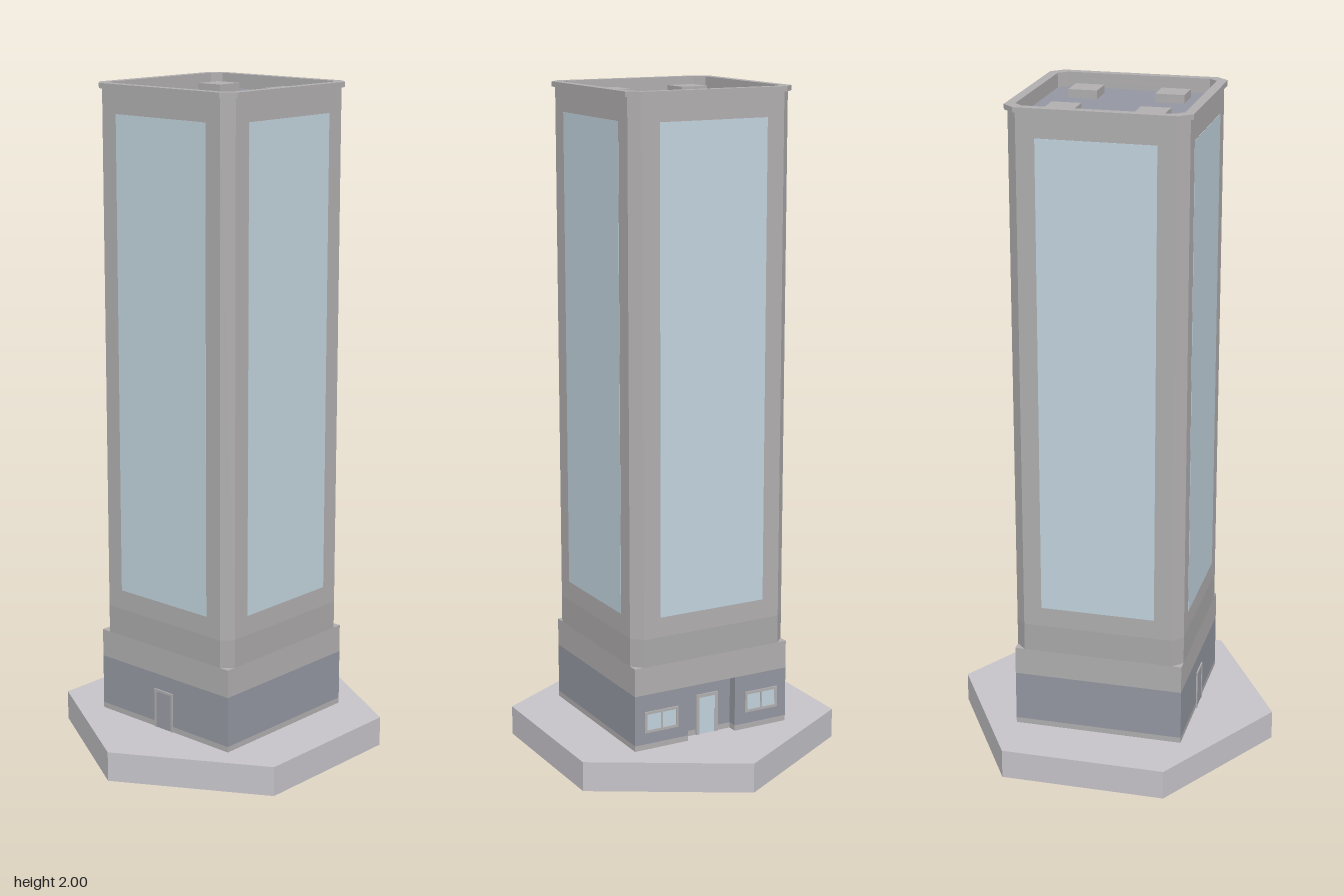
import * as THREE from 'three';

const mat = (color) => new THREE.MeshStandardMaterial({ color, flatShading: true });
const WALL = mat(0xb0aeae), BAND = mat(0x9497a1), SILL = mat(0xaaa8a9);
const GLASS = mat(0xc1d3dd), PLINTH = mat(0xc5c3c8), DOOR = mat(0x9a9ca4);

const HALF = 0.257; // half width of the tower

// Square outline with cut corners
function octagon(h, c) {
  return [[h, c - h], [h, h - c], [h - c, h], [c - h, h], [-h, h - c], [-h, c - h], [c - h, -h], [h - c, -h]];
}

const toPoints = (list) => list.map(([x, y]) => new THREE.Vector2(x, y));

// Horizontal slab from a footprint (footprint +y points to the back)
function slab(parent, name, material, outline, y0, y1, hole) {
  const shape = new THREE.Shape(toPoints(outline));
  if (hole) shape.holes.push(new THREE.Path(toPoints(hole)));
  const geo = new THREE.ExtrudeGeometry(shape, { depth: y1 - y0, bevelEnabled: false });
  geo.rotateX(-Math.PI / 2);
  const mesh = new THREE.Mesh(geo, material);
  mesh.position.y = y0;
  mesh.name = name;
  parent.add(mesh);
}

function box(parent, name, material, w, h, d, x, y, z) {
  const mesh = new THREE.Mesh(new THREE.BoxGeometry(w, h, d), material);
  mesh.position.set(x, y, z);
  mesh.name = name;
  parent.add(mesh);
}

// Rectangular frame facing +z, optionally open at the bottom
function frame(parent, name, w, h, t, d, x, y, z, bottom) {
  for (const s of [-1, 1]) box(parent, name, WALL, t, h, d, x + s * (w - t) / 2, y, z);
  box(parent, name, WALL, w - 2 * t, t, d, x, y + (h - t) / 2, z);
  if (bottom) box(parent, name, WALL, w - 2 * t, t, d, x, y - (h - t) / 2, z);
}

export function createModel() {
  const model = new THREE.Group();
  model.name = 'tower';

  // Hexagonal plinth
  const plinth = new THREE.Mesh(new THREE.CylinderGeometry(0.495, 0.495, 0.09, 6), PLINTH);
  plinth.position.y = 0.045;
  plinth.name = 'plinth';
  model.add(plinth);

  const building = new THREE.Group();
  building.name = 'building';
  building.position.set(0.004, 0, 0.003);
  model.add(building);

  // Ground floor with an entrance recess at the back
  const h = HALF, r = 0.08, depth = 0.03;
  const square = [[-h, -h], [h, -h], [h, h], [-h, h]];
  const notched = [[-h, -h], [h, -h], [h, h], [r, h], [r, h - depth], [-r, h - depth], [-r, h], [-h, h]];
  slab(building, 'footing', WALL, notched, 0.09, 0.107);
  slab(building, 'groundFloor', BAND, notched, 0.107, 0.26);
  slab(building, 'podiumTop', WALL, square, 0.26, 0.345);

  // Shaft with cut corners
  const outline = octagon(h, 0.03), opening = octagon(0.238, 0.025);
  slab(building, 'shaftBand', SILL, outline, 0.345, 0.43);
  slab(building, 'shaft', WALL, outline, 0.43, 1.955);

  // Sunken roof, parapet and coping
  slab(building, 'roof', BAND, opening, 1.953, 1.957);
  slab(building, 'parapet', WALL, outline, 1.955, 1.985, opening);
  slab(building, 'coping', WALL, octagon(0.266, 0.035), 1.985, 2, opening);

  // Roof units
  for (const x of [-1, 1]) {
    for (const z of [-1, 1]) box(building, 'roofUnit', WALL, 0.086, 0.025, 0.086, x * 0.128, 1.969, z * 0.128);
  }

  // One tall glass panel on each side
  for (let i = 0; i < 4; i++) {
    const side = new THREE.Group();
    side.name = 'glassSide';
    side.rotation.y = i * Math.PI / 2;
    box(side, 'glassPanel', GLASS, 0.345, 1.425, 0.004, 0, 1.2025, h - 0.001);
    building.add(side);
  }

  // Front door
  const front = new THREE.Group();
  front.name = 'frontDoor';
  box(front, 'doorLeaf', DOOR, 0.06, 0.115, 0.004, 0, 0.1475, h);
  frame(front, 'doorFrame', 0.074, 0.122, 0.007, 0.008, 0, 0.151, h, false);
  building.add(front);

  // Back entrance and its two windows
  const back = new THREE.Group();
  back.name = 'backEntrance';
  back.rotation.y = Math.PI;
  box(back, 'entranceGlass', GLASS, 0.058, 0.118, 0.004, 0, 0.149, h - depth);
  frame(back, 'entranceFrame', 0.074, 0.126, 0.01, 0.008, 0, 0.153, h - depth, false);
  for (const s of [-1, 1]) {
    box(back, 'windowGlass', GLASS, 0.1, 0.055, 0.004, s * 0.17, 0.175, h);
    frame(back, 'windowFrame', 0.112, 0.065, 0.008, 0.008, s * 0.17, 0.175, h, true);
    box(back, 'windowBar', WALL, 0.006, 0.05, 0.007, s * 0.17, 0.175, h);
  }
  building.add(back);

  return model;
}
